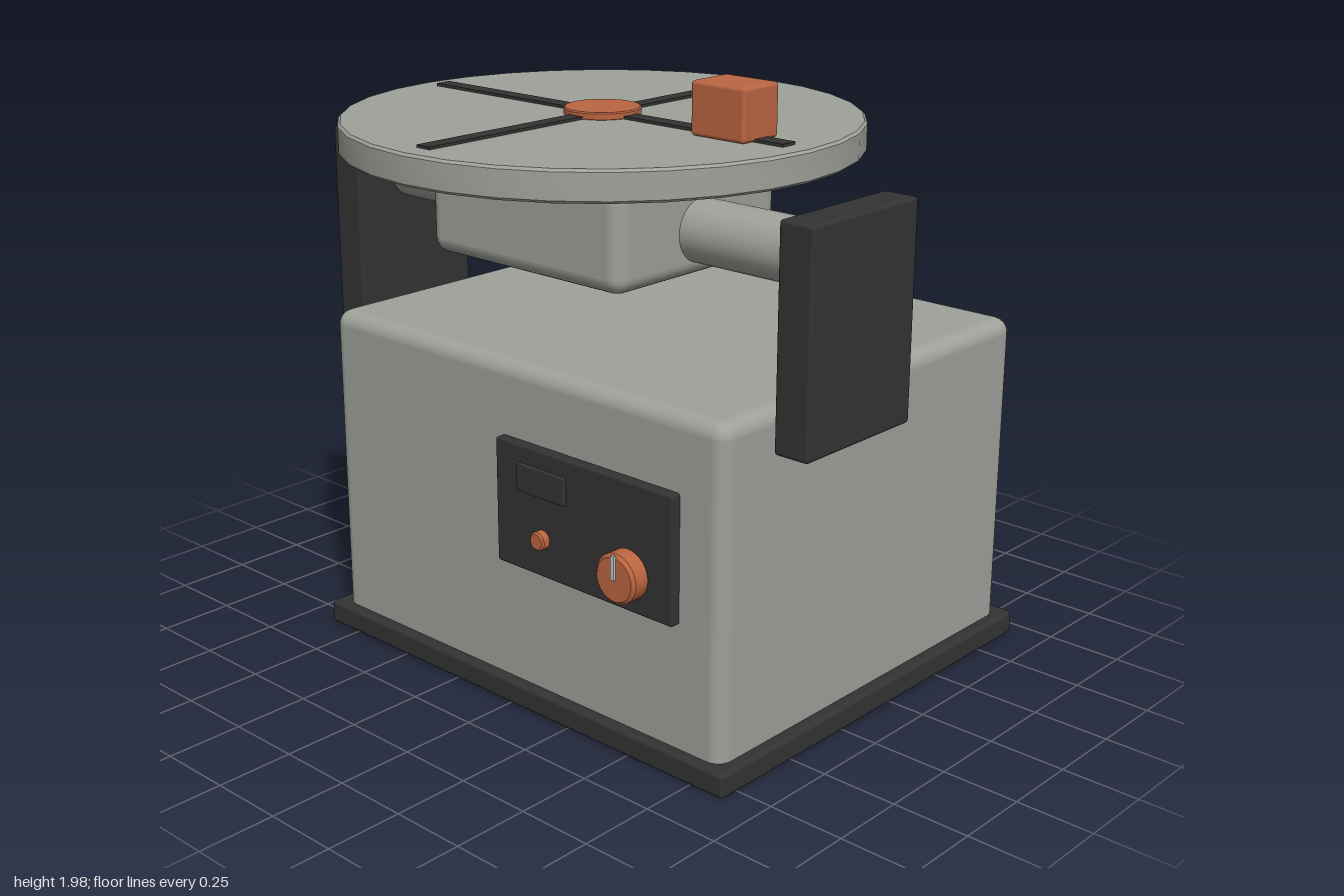
import * as THREE from 'three';
import { toCreasedNormals } from 'three/addons/utils/BufferGeometryUtils.js';
import { RoundedBoxGeometry } from 'three/addons/geometries/RoundedBoxGeometry.js';

const mat = (name, color) => {
  const m = new THREE.MeshStandardMaterial({ color });
  m.name = name;
  return m;
};

export function createModel() {
  const grey = mat('warm grey paint', 0x9fa19a);
  const dark = mat('charcoal', 0x333333);
  const orange = mat('copper orange', 0xbb6541);
  const silver = mat('pale metal', 0xc4c6c4);

  const model = new THREE.Group();
  model.name = 'weldingPositioner';
  const axisZ = 0.137; // depth of the tilt axis and the turntable centre

  const add = (name, geometry, material, x, y, z) => {
    const mesh = new THREE.Mesh(geometry, material);
    mesh.name = name;
    mesh.position.set(x, y, z);
    model.add(mesh);
    return mesh;
  };

  // Rounded box given by its limits on each axis
  const box = (name, material, [x0, x1], [y0, y1], [z0, z1], r) =>
    add(name, new RoundedBoxGeometry(x1 - x0, y1 - y0, z1 - z0, 3, r), material,
      (x0 + x1) / 2, (y0 + y1) / 2, (z0 + z1) / 2);

  // Upright disc with chamfered rims, centred on its own height
  const disc = (r, h, bevel, segments = 32) => {
    const profile = [[0, -h / 2], [r - bevel, -h / 2], [r, -h / 2 + bevel],
      [r, h / 2 - bevel], [r - bevel, h / 2], [0, h / 2]];
    return toCreasedNormals(new THREE.LatheGeometry(
      profile.map(([x, y]) => new THREE.Vector2(x, y)), segments), 0.6);
  };

  // Cabinet and plinth
  box('plinth', dark, [-0.88, 0.88], [0, 0.08], [-0.94, 0.575], 0.015);
  box('cabinet', grey, [-0.84, 0.84], [0.01, 1.12], [-0.9, 0.54], 0.05);

  // Control panel on the front
  box('controlPanel', dark, [-0.04, 0.68], [0.48, 0.885], [0.53, 0.573], 0.008);
  box('display', dark, [0.06, 0.26], [0.74, 0.83], [0.565, 0.585], 0.005);
  add('dial', disc(0.078, 0.07, 0.01), orange, 0.52, 0.605, 0.608).rotation.x = Math.PI / 2;
  add('dialPointer', new THREE.BoxGeometry(0.014, 0.075, 0.009), silver, 0.52, 0.643, 0.646);
  add('pushButton', disc(0.03, 0.035, 0.006, 24), orange, 0.16, 0.605, 0.585).rotation.x = Math.PI / 2;

  // Cooling slots on the right side
  for (let i = 0; i < 6; i++) {
    const z = -0.52 + i * 0.138;
    box('ventSlot', dark, [-0.855, -0.83], [0.325, 0.72], [z - 0.022, z + 0.022], 0.006);
  }

  // Tilt arms and shafts, mirrored
  for (const side of [-1, 1]) {
    add('tiltArm', new RoundedBoxGeometry(0.12, 0.675, 0.48, 3, 0.012), dark,
      side * 0.94, 1.343, axisZ);
    add('tiltShaft', new THREE.CylinderGeometry(0.098, 0.098, 0.54, 32), grey,
      side * 0.64, 1.525, axisZ).rotation.z = Math.PI / 2;
  }
  add('shaftCollar', disc(0.158, 0.08, 0.014), orange, -0.445, 1.523, axisZ).rotation.z = Math.PI / 2;

  // Gearbox and its bearing
  box('gearbox', grey, [-0.4, 0.4], [1.385, 1.7], [axisZ - 0.357, axisZ + 0.357], 0.05);
  add('bearing', new THREE.CylinderGeometry(0.28, 0.28, 0.07, 32), dark, 0, 1.695, axisZ);

  // Turntable with a cross of clamping slots
  add('turntable', disc(0.798, 0.095, 0.008), grey, 0, 1.7725, axisZ);
  add('tableSlot', new THREE.BoxGeometry(1.44, 0.015, 0.055), dark, 0, 1.8215, axisZ);
  add('tableSlot', new THREE.BoxGeometry(0.053, 0.014, 1.44), dark, 0, 1.8215, axisZ);
  add('hubCap', disc(0.118, 0.025, 0.004), orange, 0, 1.83, axisZ);
  box('clampBlock', orange, [0.42, 0.62], [1.82, 1.98], [axisZ - 0.078, axisZ + 0.078], 0.012);

  return model;
}
